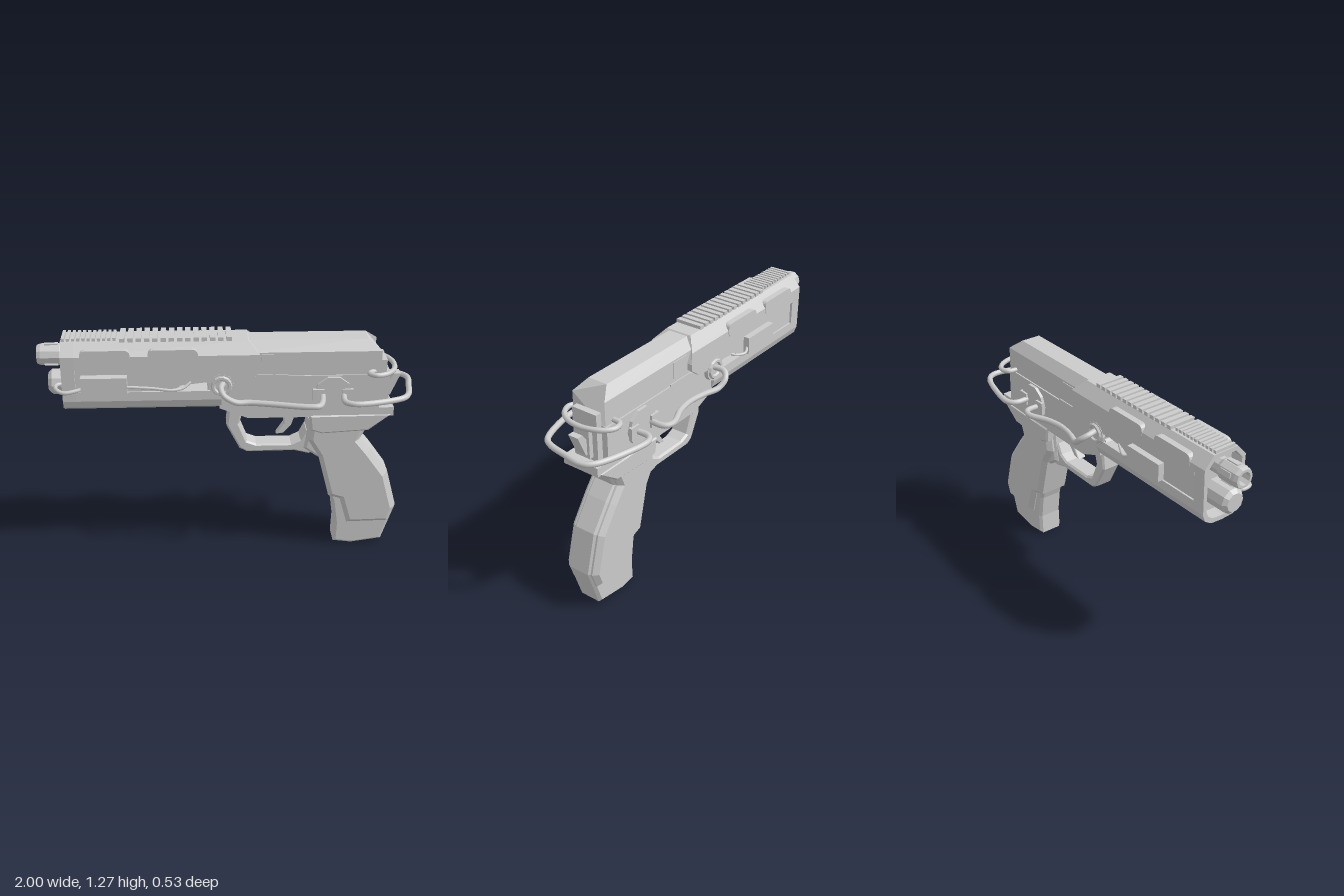
import * as THREE from 'three';

const metal = new THREE.MeshStandardMaterial({ color: 0xcccccc, flatShading: true });
const smooth = new THREE.MeshStandardMaterial({ color: 0xcccccc });
const V = (p) => new THREE.Vector2(p[0], p[1]);

export function createModel() {
  const root = new THREE.Group();
  const body = new THREE.Group();
  body.name = 'body';
  body.position.z = -0.018;
  root.add(body);

  const add = (name, geo, parent = body, mat = metal) => {
    const m = new THREE.Mesh(geo, mat);
    m.name = name;
    parent.add(m);
    return m;
  };

  // Side outline (x, y) extruded across z with chamfered edges
  const plate = (name, pts, half, bevel = 0, z = 0) => {
    const geo = new THREE.ExtrudeGeometry(new THREE.Shape(pts.map(V)), {
      depth: 2 * (half - bevel), bevelEnabled: bevel > 0, bevelSegments: 1,
      bevelThickness: bevel, bevelSize: bevel, bevelOffset: -bevel,
    });
    geo.translate(0, 0, z - half + bevel);
    return add(name, geo);
  };

  // Mirrored half section (z, y) extruded along x; endRule moves the rear end by height
  const mirrored = (half) => [...half, ...half.filter((p) => p[0] > 0).reverse().map(([z, y]) => [-z, y])];
  const prism = (name, half, x0, x1, endRule, hole) => {
    const shape = new THREE.Shape(mirrored(half).map(V));
    if (hole) shape.holes.push(new THREE.Path(mirrored(hole).map(V)));
    const geo = new THREE.ExtrudeGeometry(shape, { depth: x1 - x0, bevelEnabled: false });
    geo.rotateY(Math.PI / 2).translate(x0, 0, 0);
    if (endRule) {
      const p = geo.attributes.position;
      for (let i = 0; i < p.count; i++) if (p.getX(i) > x1 - 1e-4) p.setX(i, endRule(p.getY(i)));
      geo.computeVertexNormals();
    }
    return add(name, geo);
  };

  const box = (name, x0, x1, y0, y1, z0, z1) => {
    const geo = new THREE.BoxGeometry(x1 - x0, y1 - y0, z1 - z0);
    geo.translate((x0 + x1) / 2, (y0 + y1) / 2, (z0 + z1) / 2);
    return add(name, geo);
  };

  // Front shell with an open muzzle recess
  prism('muzzleShell',
    [[0, 0.88], [0.07, 0.885], [0.11, 0.91], [0.125, 0.95], [0.13, 1.2], [0.075, 1.262]], -0.87, -0.8, null,
    [[0, 0.905], [0.06, 0.91], [0.09, 0.93], [0.105, 0.96], [0.108, 1.19], [0.065, 1.238]]);
  prism('frontSlide', [[0.13, 1.13], [0.13, 1.2], [0.075, 1.262]], -0.8, 0.16, (y) => (y > 1.25 ? 0.1 : 0.16));
  prism('underBarrel', [[0, 0.88], [0.07, 0.885], [0.11, 0.91], [0.125, 0.95], [0.125, 1.0]], -0.8, -0.04);
  plate('middleFrame', [[-0.8, 0.99], [-0.31, 0.99], [-0.25, 1.03], [-0.12, 1.045], [-0.1, 1.02], [-0.12, 0.99],
    [0, 0.99], [0, 1.135], [-0.8, 1.135]], 0.115);
  plate('slideSkirt', [[-0.32, 1.135], [-0.2, 1.07], [-0.1, 1.05], [0.09, 1.045], [0.16, 1.1], [0.16, 1.135]], 0.13);

  // Rear slide and frame
  prism('rearSlide', [[0.1, 1.05], [0.1, 1.2], [0.056, 1.255]], 0.08, 0.8, (y) => (y > 1.25 ? 0.73 : 0.8));
  plate('frame', [[-0.05, 1.05], [-0.05, 0.89], [0.1, 0.83], [0.88, 0.83], [0.88, 0.88], [0.8, 0.88],
    [0.8, 1.07], [0.1, 1.07]], 0.108);
  box('rearPlate', 0.8, 0.835, 0.88, 1.14, -0.075, 0.075);
  box('rearBlock', 0.83, 0.86, 0.9, 1.06, -0.045, 0.045);
  plate('hammer', [[0.83, 0.92], [0.87, 0.92], [0.92, 1.04], [0.885, 1.04], [0.83, 0.96]], 0.03);

  // Barrel with open bore, and the rod below it
  const lathe = (name, pts, y) => {
    const geo = new THREE.LatheGeometry(pts.map(V), 10).rotateZ(Math.PI / 2);
    geo.translate(0, y, 0);
    return add(name, geo);
  };
  lathe('barrel', [[0.047, 0.78], [0.047, 0.86], [0.057, 0.88], [0.057, 0.98], [0.05, 1.0], [0.036, 1.0],
    [0.036, 0.88], [0, 0.88]], 1.17);
  lathe('guideRod', [[0.068, 0.78], [0.068, 0.93], [0.05, 0.95], [0, 0.95]], 1.015);
  for (let i = 0; i < 5; i++) {
    const a = (i / 5) * Math.PI * 2;
    const rib = add('barrelRib', new THREE.BoxGeometry(0.07, 0.012, 0.024));
    rib.position.set(-0.925, 1.17 + Math.cos(a) * 0.055, Math.sin(a) * 0.055);
    rib.rotation.x = a;
  }

  // Top rail teeth
  for (let i = 0; i < 14; i++) {
    const x = -0.565 + i * 0.0425;
    box('railTooth', x, x + 0.028, 1.25, 1.28, -0.077, 0.077);
  }
  for (let i = 0; i < 11; i++) {
    const x = -0.865 + i * 0.0265;
    box('fineRib', x, x + 0.016, 1.25, 1.278, -0.062, 0.062);
  }

  // Rounded slots, discs and small plates on both sides
  for (const s of [1, -1]) {
    for (const x of [-0.64, -0.29]) {
      const shape = new THREE.Shape();
      shape.moveTo(x - 0.1, 1.16).lineTo(x + 0.1, 1.16);
      shape.quadraticCurveTo(x + 0.13, 1.16, x + 0.13, 1.198).quadraticCurveTo(x + 0.13, 1.235, x + 0.1, 1.235);
      shape.lineTo(x - 0.1, 1.235).quadraticCurveTo(x - 0.13, 1.235, x - 0.13, 1.198);
      shape.quadraticCurveTo(x - 0.13, 1.16, x - 0.1, 1.16);
      const geo = new THREE.ExtrudeGeometry(shape, { depth: 0.04, bevelEnabled: false, curveSegments: 5 });
      add('sideSlot', geo.translate(0, 0, s > 0 ? 0.093 : -0.133));
    }
    const disc = (name, x, y, r, z, sides) => {
      const geo = new THREE.CylinderGeometry(r, r, 0.06, sides).rotateY(Math.PI / sides).rotateX(Math.PI / 2);
      add(name, geo.translate(x, y, s * (z - 0.03)));
    };
    disc('rearDisc', 0.55, 0.965, 0.103, 0.125, 10);
    for (const x of [0.47, 0.625]) box('cableClamp', x - 0.03, x + 0.03, 0.93, 1.0, s * 0.127 - 0.01, s * 0.127 + 0.01);
    disc('frontDisc', -0.04, 1.03, 0.066, 0.132, 14);
    const hub = add('frontDiscRing', new THREE.TorusGeometry(0.045, 0.012, 6, 14));
    hub.position.set(-0.04, 1.03, s * 0.132);
    box('sidePort', 0.17, 0.28, 1.1, 1.19, s * 0.1 - 0.004, s * 0.1 + 0.004);
    box('sideSlit', 0.14, 0.31, 1.07, 1.08, s * 0.107 - 0.003, s * 0.107 + 0.003);
  }
  box('leftSidePlate', -0.77, -0.53, 1.0, 1.095, 0.1, 0.163);
  box('rightSidePlate', -0.57, -0.33, 1.0, 1.095, -0.15, -0.1);

  // Trigger guard and trigger
  const guard = [[0, 0.87], [-0.012, 0.76], [0.06, 0.62], [0.1, 0.598], [0.36, 0.6], [0.44, 0.58], [0.5, 0.6],
    [0.46, 0.7], [0.42, 0.73], [0.39, 0.67], [0.34, 0.645], [0.15, 0.645], [0.1, 0.665], [0.058, 0.77], [0.08, 0.86]];
  plate('triggerGuard', guard, 0.055, 0.01);
  plate('trigger', [[0.25, 0.84], [0.3, 0.8], [0.3, 0.75], [0.26, 0.69], [0.3, 0.695], [0.34, 0.74], [0.36, 0.8],
    [0.4, 0.84]], 0.025, 0.005);

  // Grip core, backstrap and raised side panels
  plate('gripTop', [[0.43, 0.84], [0.44, 0.75], [0.5, 0.73], [0.75, 0.745], [0.87, 0.84]], 0.115, 0.01);
  plate('gripCore', [[0.43, 0.8], [0.42, 0.68], [0.41, 0.62], [0.48, 0.57], [0.5, 0.56], [0.55, 0.36], [0.58, 0.28],
    [0.6, 0.14], [0.596, 0.02], [0.7, 0.005], [0.87, 0.03], [0.94, 0.25], [0.88, 0.47], [0.78, 0.61], [0.72, 0.68],
    [0.76, 0.76], [0.8, 0.8]], 0.073, 0.015);
  plate('gripPanels', [[0.44, 0.77], [0.43, 0.68], [0.49, 0.58], [0.555, 0.33], [0.62, 0.31], [0.665, 0.155],
    [0.9, 0.16], [0.93, 0.25], [0.87, 0.465], [0.77, 0.605], [0.71, 0.68], [0.74, 0.77]], 0.104, 0.025);

  // Cables
  const cable = (name, pts, r = 0.016) => {
    const curve = new THREE.CatmullRomCurve3(pts.map((p) => new THREE.Vector3(...p)), false, 'centripetal');
    add(name, new THREE.TubeGeometry(curve, pts.length * 6, r, 8), root, smooth);
  };
  cable('leftCable', [[-0.03, 1.04, 0.1], [-0.045, 1.035, 0.16], [-0.03, 1.01, 0.195], [0.03, 0.972, 0.195],
    [0.1, 0.965, 0.185], [0.2, 0.963, 0.2], [0.4, 0.963, 0.245], [0.46, 0.963, 0.24], [0.48, 0.963, 0.2], [0.495, 0.963, 0.1]]);
  cable('rightCable', [[-0.03, 1.04, -0.12], [-0.045, 1.035, -0.2], [-0.02, 1.01, -0.232], [0.03, 0.972, -0.225],
    [0.12, 0.965, -0.195], [0.22, 0.963, -0.18], [0.32, 0.963, -0.195], [0.44, 0.963, -0.24], [0.485, 0.963, -0.22],
    [0.49, 0.963, -0.12]]);
  cable('rearLoop', [[0.605, 0.963, 0.1], [0.605, 0.963, 0.195], [0.65, 0.963, 0.222], [0.8, 0.963, 0.2],
    [0.92, 0.963, 0.15], [0.95, 0.963, 0.1], [0.97, 0.963, 0], [0.984, 0.963, -0.12], [0.95, 0.963, -0.17],
    [0.8, 0.963, -0.225], [0.64, 0.963, -0.247], [0.605, 0.963, -0.215], [0.605, 0.963, -0.12]]);
  cable('upperRearLoop', [[0.77, 1.085, 0.07], [0.735, 1.085, 0.105], [0.765, 1.085, 0.135], [0.82, 1.085, 0.12],
    [0.87, 1.085, 0.06], [0.885, 1.085, -0.04], [0.85, 1.085, -0.14], [0.8, 1.085, -0.178], [0.75, 1.085, -0.165],
    [0.74, 1.085, -0.1]], 0.014);
  cable('leftFrontWire', [[-0.86, 1.03, 0.05], [-0.9, 1.03, 0.07], [-0.9, 1.03, 0.12], [-0.86, 1.02, 0.15],
    [-0.76, 1.03, 0.13]], 0.011);
  cable('leftThinWire', [[-0.54, 1.04, 0.13], [-0.4, 1.03, 0.13], [-0.3, 1.02, 0.135], [-0.24, 1.025, 0.12],
    [-0.2, 1.05, 0.1]], 0.008);
  cable('rightThinWire', [[-0.34, 1.04, -0.15], [-0.3, 1.02, -0.165], [-0.24, 1.025, -0.14], [-0.2, 1.05, -0.12]], 0.008);

  return root;
}
